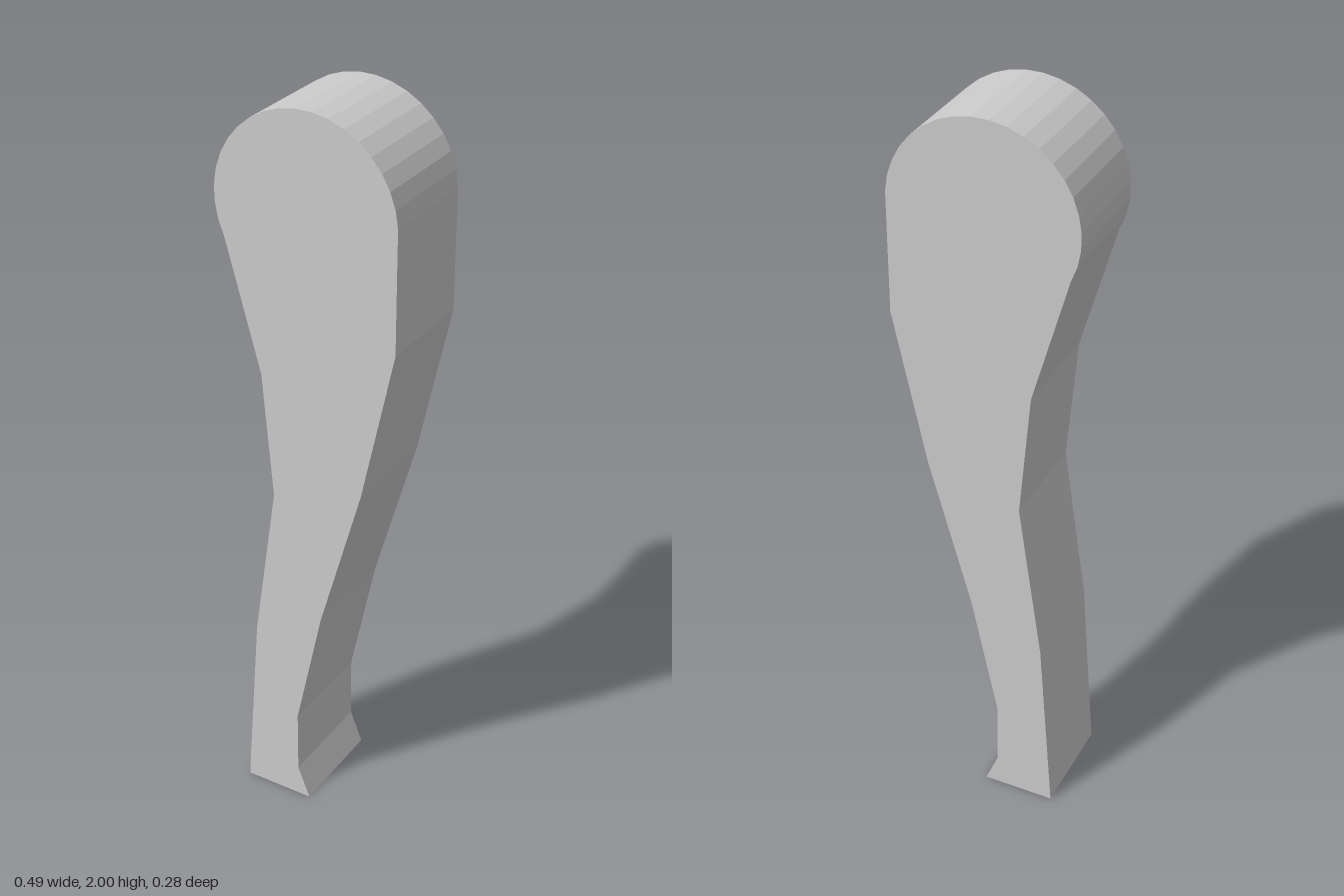
import * as THREE from 'three';

// Straight-edged outline from the left shoulder, round the foot, up to the right shoulder
const LEG = [
  [-0.127, 1.3], [-0.097, 0.96], [-0.16, 0.52], [-0.197, 0],
  [0, 0], [-0.035, 0.09], [-0.035, 0.27], [0.04, 0.62], [0.157, 1.035], [0.247, 1.45],
];
const HEAD = { y: 1.752, radius: 0.248, start: 0.07, end: Math.PI + 0.45, segments: 20 };
const DEPTH = 0.284;

export function createModel() {
  const group = new THREE.Group();
  group.name = 'curvedLeg';

  // Rounded head, faceted, then the tapering leg and flared toe
  const points = [];
  for (let i = 0; i <= HEAD.segments; i++) {
    const a = THREE.MathUtils.lerp(HEAD.start, HEAD.end, i / HEAD.segments);
    points.push(new THREE.Vector2(HEAD.radius * Math.cos(a), HEAD.y + HEAD.radius * Math.sin(a)));
  }
  LEG.forEach(([x, y]) => points.push(new THREE.Vector2(x, y)));

  // Flat slab cut from the outline, centred front to back
  const geometry = new THREE.ExtrudeGeometry(new THREE.Shape(points), { depth: DEPTH, bevelEnabled: false });
  geometry.translate(0, 0, -DEPTH / 2);

  const leg = new THREE.Mesh(geometry, new THREE.MeshStandardMaterial({ color: 0xcccccc, flatShading: true }));
  leg.name = 'leg';
  group.add(leg);
  return group;
}
